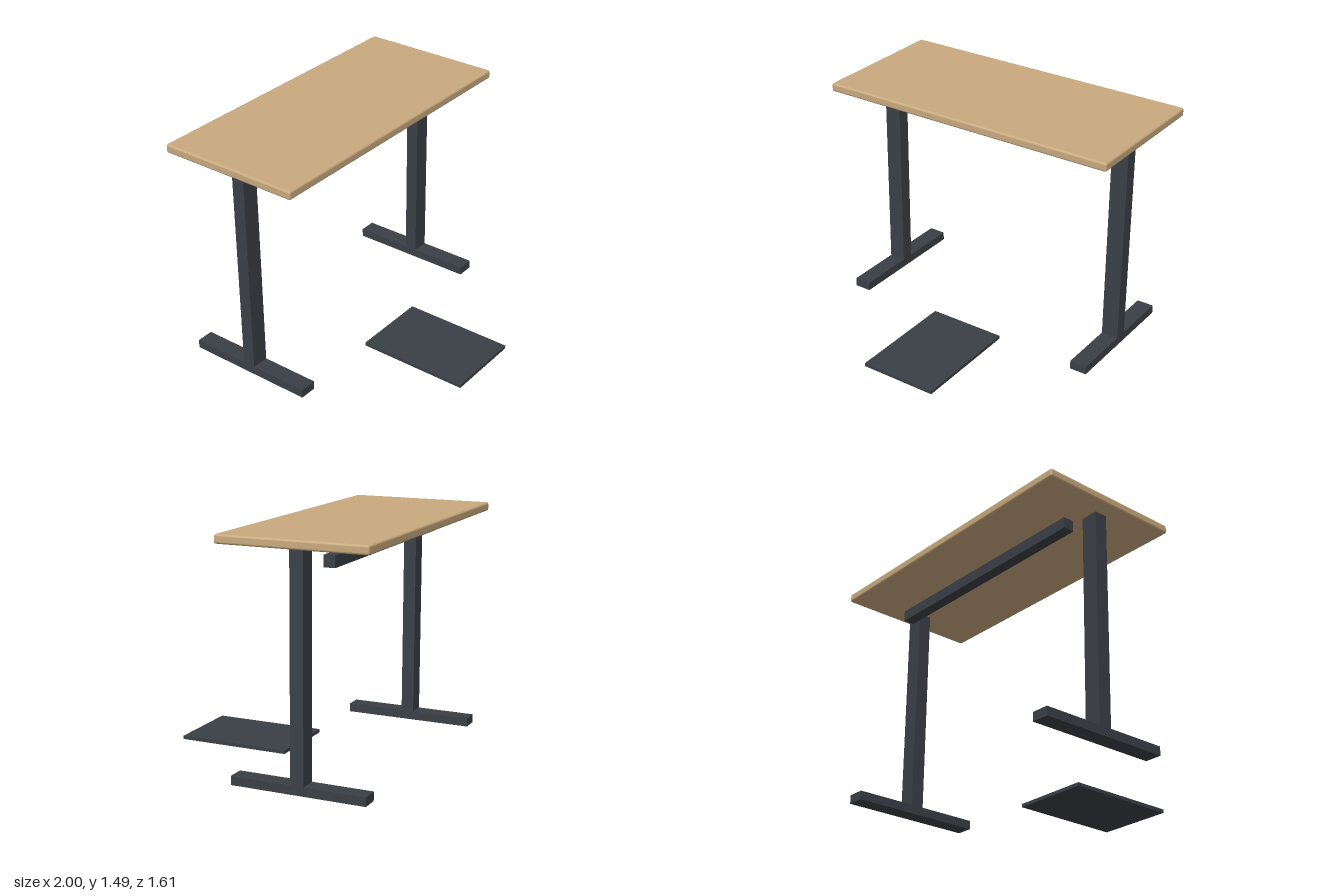
import * as THREE from 'three';
import { RoundedBoxGeometry } from 'three/addons/geometries/RoundedBoxGeometry.js';

const wood = new THREE.MeshStandardMaterial({ color: 0xc8a97e });
wood.name = 'wood';
const darkMetal = new THREE.MeshStandardMaterial({ color: 0x3a3f47 });
darkMetal.name = 'dark metal';

// Box given by its min and max corners
function block(name, min, max) {
  const size = max.map((v, i) => v - min[i]);
  const mesh = new THREE.Mesh(new THREE.BoxGeometry(...size), darkMetal);
  mesh.position.set(...min.map((v, i) => (v + max[i]) / 2));
  mesh.name = name;
  return mesh;
}

export function createModel() {
  const desk = new THREE.Group();
  desk.name = 'desk';

  // Tabletop with softly rounded edges
  const top = new THREE.Mesh(new RoundedBoxGeometry(2, 0.056, 0.942, 3, 0.014), wood);
  top.position.set(0, 1.46, -0.335);
  top.name = 'tabletop';
  desk.add(top);

  // Column and floor foot on each side
  for (const [label, x] of [['left', 0.855], ['right', -0.855]]) {
    const leg = new THREE.Group();
    leg.name = label + 'Leg';
    leg.add(
      block('column', [-0.056, 0.056, -0.376], [0.056, 1.417, -0.292]),
      block('foot', [-0.056, 0, -0.763], [0.056, 0.056, 0.094])
    );
    leg.position.x = x;
    desk.add(leg);
  }

  // Rear rail under the tabletop
  desk.add(block('rearRail', [-0.785, 1.31, -0.512], [0.785, 1.381, -0.441]));

  // Floor mat in front
  desk.add(block('floorMat', [-0.256, 0, 0.073], [0.256, 0.022, 0.806]));

  return desk;
}
